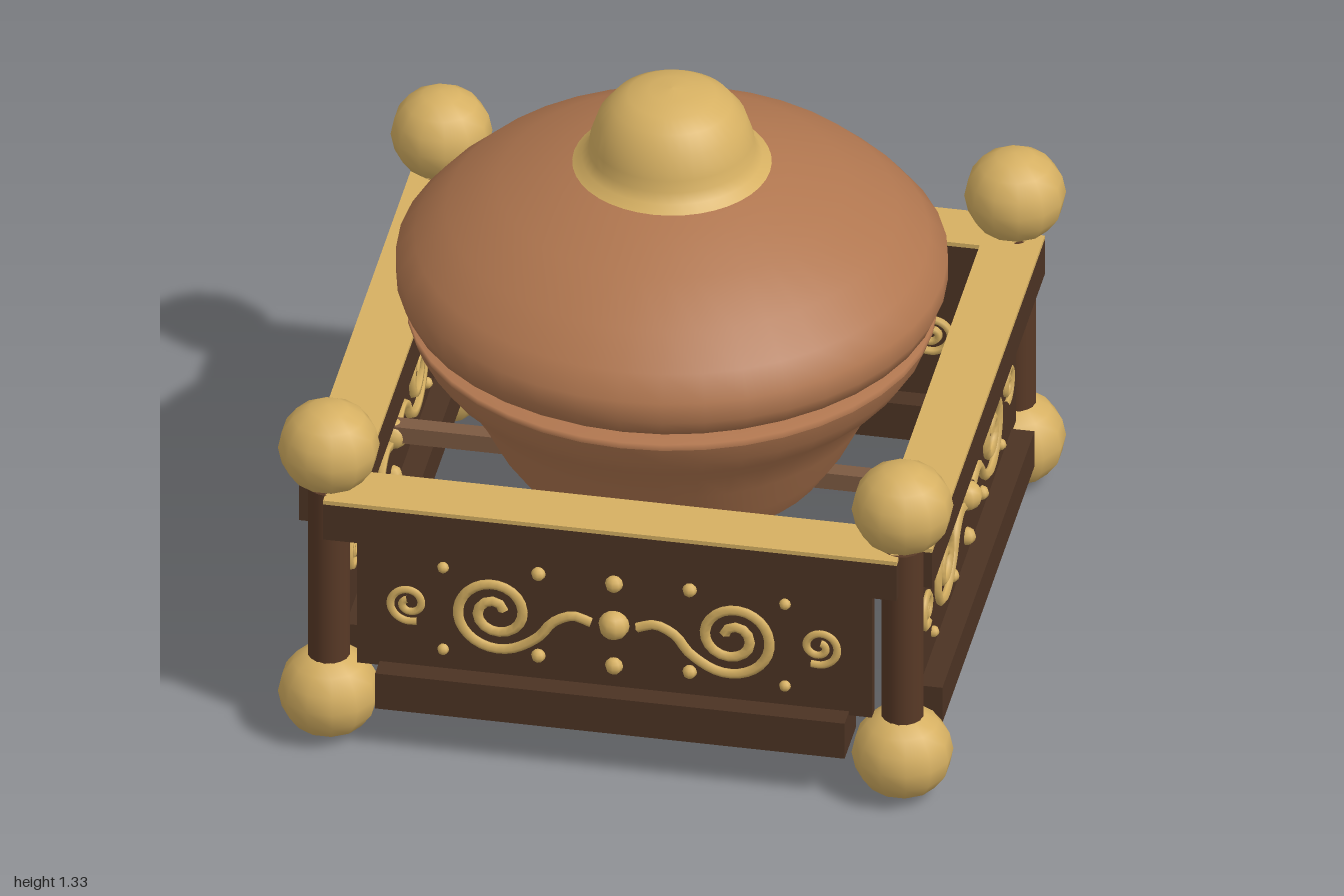
import * as THREE from 'three';

const mat = (name, color) => Object.assign(new THREE.MeshStandardMaterial({ color }), { name });

export function createModel() {
  const gold = mat('gold', 0xd6b062);
  const copper = mat('copper', 0xb0764f);
  const darkWood = mat('dark wood', 0x4c3323);
  const postWood = mat('post wood', 0x583926);
  const barWood = mat('bar wood', 0x7d5a42);
  const model = new THREE.Group();

  const add = (parent, name, geo, material, x = 0, y = 0, z = 0) => {
    const mesh = new THREE.Mesh(geo, material);
    mesh.name = name;
    mesh.position.set(x, y, z);
    parent.add(mesh);
    return mesh;
  };
  const lathe = (points) => new THREE.LatheGeometry(points.map(([r, y]) => new THREE.Vector2(r, y)), 40);

  const CORNER = 0.89;                    // centre to post
  const SIDE = CORNER * Math.SQRT2;       // post to post

  // Gong: lower bowl with flat rim, upper dome, and a gold boss
  const gong = new THREE.Group();
  gong.name = 'gong';
  model.add(gong);
  add(gong, 'gongBase', new THREE.CircleGeometry(0.34, 40).rotateX(Math.PI / 2), copper, 0, 0.395, 0);
  add(gong, 'gongBowl', lathe([[0.34, 0.395], [0.385, 0.46], [0.43, 0.55], [0.48, 0.63], [0.525, 0.675],
    [0.555, 0.72], [0.572, 0.765]]), copper);
  add(gong, 'gongRim', lathe([[0.572, 0.765], [0.572, 0.78], [0.5, 0.782]]), copper);
  add(gong, 'gongDome', lathe([[0.5, 0.782], [0.545, 0.79], [0.58, 0.815], [0.595, 0.85], [0.595, 0.9], [0.555, 0.95],
    [0.487, 1.015], [0.375, 1.08], [0.257, 1.125], [0.19, 1.142]]), copper);
  add(gong, 'gongBoss', lathe([[0.215, 1.137], [0.195, 1.152], [0.18, 1.172], [0.177, 1.2], [0.16, 1.25],
    [0.13, 1.288], [0.095, 1.31], [0.05, 1.322], [0, 1.326]]), gold);

  // Crossed bars carrying the gong
  for (const turn of [1, -1]) {
    add(model, 'supportBar', new THREE.BoxGeometry(SIDE, 0.04, 0.04), barWood, 0, 0.37, 0)
      .rotation.y = turn * Math.PI / 4;
  }

  // Scroll: a spiral that unwinds from (cx, 0), optionally running on into a tail
  const scroll = (cx, radius, turns, tail, tube) => {
    const pts = [];
    const n = Math.round(turns * 12);
    for (let i = 0; i <= n; i++) {
      const t = i / n;
      const a = -Math.PI * 0.62 + (1 - t) * turns * Math.PI * 2;
      const r = radius * (0.2 + 0.8 * t);
      pts.push(new THREE.Vector3(cx + r * Math.cos(a), r * Math.sin(a), 0));
    }
    tail.forEach(([x, y]) => pts.push(new THREE.Vector3(x, y, 0)));
    return new THREE.TubeGeometry(new THREE.CatmullRomCurve3(pts), 48, tube, 5);
  };
  const bigScroll = scroll(0.26, 0.095, 1.75, [[0.165, -0.05], [0.135, -0.01], [0.09, 0.012], [0.05, 0]], 0.012);
  const smallScroll = scroll(0.45, 0.048, 1.5, [], 0.009);
  const studs = [[0, 0.105, 0.02], [0, -0.105, 0.02], [0.166, 0.11, 0.016], [0.166, -0.1, 0.016],
    [0.375, 0.1, 0.013], [0.375, -0.11, 0.013]];

  // Ornament for one face of a panel; the left half turns the tube over, so it is rebuilt by mirroring
  const mirrored = (geo) => {
    const g = geo.clone().scale(-1, 1, 1);
    const idx = g.index.array;
    for (let i = 0; i < idx.length; i += 3) [idx[i], idx[i + 1]] = [idx[i + 1], idx[i]];
    return g;
  };
  const bigLeft = mirrored(bigScroll), smallLeft = mirrored(smallScroll);
  const ornament = () => {
    const group = new THREE.Group();
    group.name = 'panelOrnament';
    add(group, 'centreStud', new THREE.SphereGeometry(0.034, 10, 8), gold);
    for (const g of [bigScroll, bigLeft]) add(group, 'largeScroll', g, gold);
    for (const g of [smallScroll, smallLeft]) add(group, 'smallScroll', g, gold);
    for (const [x, y, r] of studs) {
      for (const s of x ? [1, -1] : [1]) add(group, 'stud', new THREE.SphereGeometry(r, 8, 6), gold, s * x, y, 0);
    }
    return group;
  };

  // Four identical sides and corner posts
  for (let i = 0; i < 4; i++) {
    const side = new THREE.Group();
    side.name = 'frameSide';
    side.rotation.y = Math.PI / 4 + i * Math.PI / 2;
    model.add(side);
    const z = SIDE / 2;
    add(side, 'topRail', new THREE.BoxGeometry(SIDE, 0.09, 0.13), darkWood, 0, 0.575, z);
    add(side, 'railCap', new THREE.BoxGeometry(SIDE, 0.01, 0.13), gold, 0, 0.625, z);
    add(side, 'bottomRail', new THREE.BoxGeometry(1.03, 0.09, 0.13), darkWood, 0, 0.155, z);
    add(side, 'panel', new THREE.BoxGeometry(1.13, 0.35, 0.03), darkWood, 0, 0.365, z);
    for (const face of [1, -1]) {
      const o = ornament();
      o.position.set(0, 0.36, z + face * 0.018);
      side.add(o);
    }

    const corner = new THREE.Group();
    corner.name = 'cornerPost';
    corner.rotation.y = i * Math.PI / 2;
    model.add(corner);
    add(corner, 'post', new THREE.CylinderGeometry(0.046, 0.046, 0.52, 16), postWood, 0, 0.37, CORNER);
    add(corner, 'topBall', new THREE.SphereGeometry(0.11, 12, 8).scale(1, 0.95, 1), gold, 0, 0.73, CORNER);
    add(corner, 'footBall', new THREE.SphereGeometry(0.11, 12, 8).scale(1, 0.95, 1), gold, 0, 0.105, CORNER);
  }
  return model;
}
